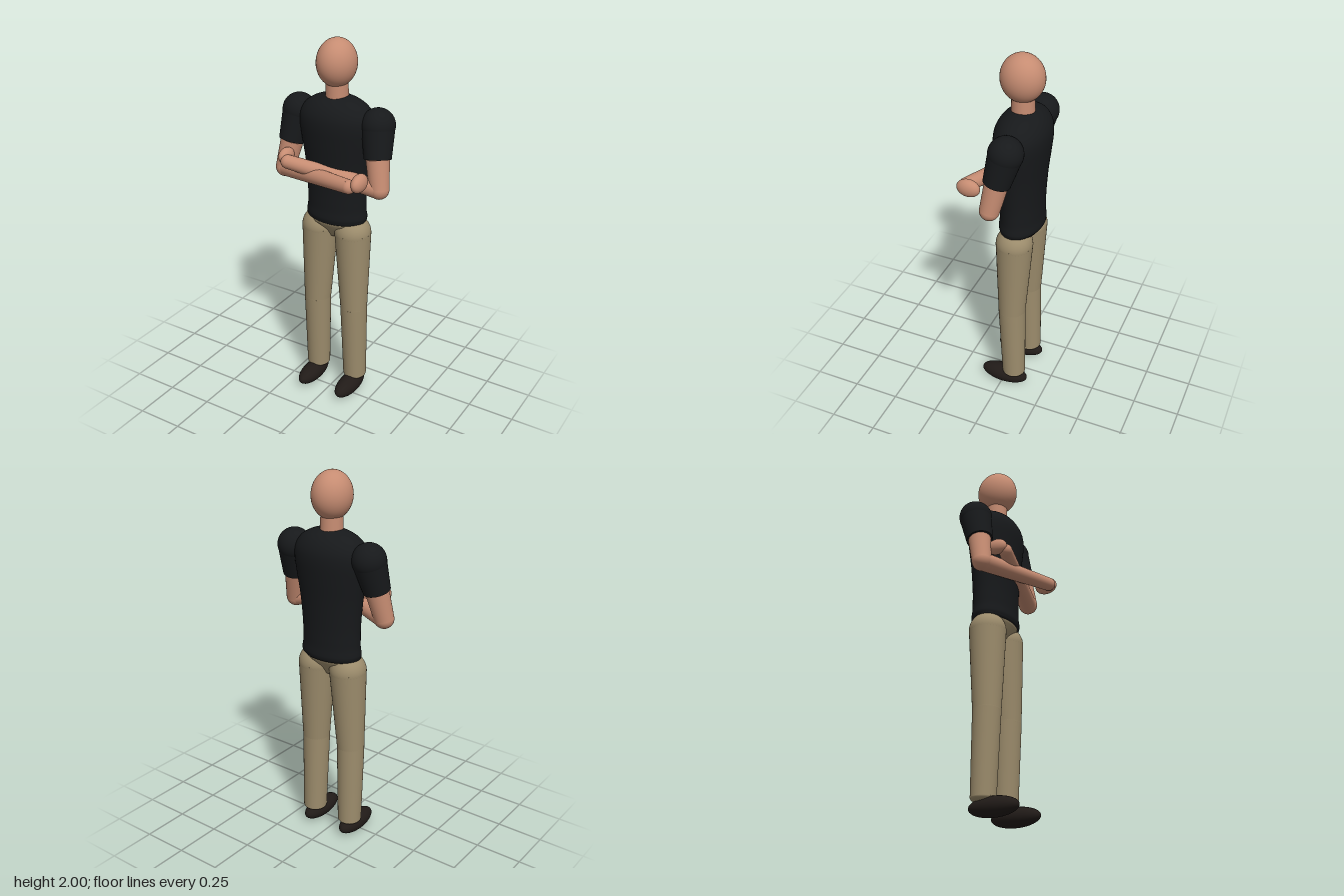
import * as THREE from 'three';

const mat = (color) => new THREE.MeshStandardMaterial({ color });
const Z = -0.065; // depth of the body axis

export function createModel() {
  const skin = mat(0xc68c72), shirt = mat(0x17191b), trousers = mat(0x9c8c6c), leather = mat(0x211b18);
  const figure = new THREE.Group();
  figure.name = 'standingFigure';

  const add = (name, geometry, material, parent = figure) => {
    const mesh = new THREE.Mesh(geometry, material);
    mesh.name = name;
    parent.add(mesh);
    return mesh;
  };
  const ellipsoid = (name, p, r, material, parent) => {
    const mesh = add(name, new THREE.SphereGeometry(1, 40, 28), material, parent);
    mesh.position.set(...p);
    mesh.scale.set(...r);
    return mesh;
  };
  const ball = (name, p, r, material, parent) => ellipsoid(name, p, [r, r, r], material, parent);
  // Tapered limb from point a (radius ra) to point b (radius rb)
  const limb = (name, a, b, ra, rb, material, parent) => {
    const from = new THREE.Vector3(...a), to = new THREE.Vector3(...b);
    const dir = to.clone().sub(from);
    const mesh = add(name, new THREE.CylinderGeometry(rb, ra, dir.length(), 36), material, parent);
    mesh.position.copy(from).add(to).multiplyScalar(0.5);
    mesh.quaternion.setFromUnitVectors(new THREE.Vector3(0, 1, 0), dir.normalize());
    return mesh;
  };
  // Oval body section: smooth lathe through [radius, height] points, flattened in depth
  const oval = (name, points, depth, material) => {
    const curve = new THREE.SplineCurve(points.map(([r, y]) => new THREE.Vector2(r, y)));
    const profile = curve.getPoints(40).map((p) => new THREE.Vector2(Math.max(p.x, 0), p.y));
    const mesh = add(name, new THREE.LatheGeometry(profile, 56), material);
    mesh.scale.z = depth;
    mesh.position.z = Z;
    return mesh;
  };

  // Head and neck
  ellipsoid('head', [0, 1.878, -0.058], [0.1, 0.122, 0.111], skin);
  limb('neck', [0, 1.68, -0.062], [0, 1.82, -0.06], 0.059, 0.055, skin);

  // Shirt body and rolled hem
  oval('shirtBody', [[0, 1.045], [0.158, 1.047], [0.165, 1.12], [0.166, 1.22], [0.178, 1.36], [0.197, 1.48],
    [0.208, 1.57], [0.196, 1.63], [0.15, 1.68], [0.075, 1.712], [0, 1.716]], 0.655, shirt);
  const hem = add('shirtHem', new THREE.TorusGeometry(0.151, 0.019, 16, 56), shirt);
  hem.rotation.x = Math.PI / 2;
  hem.scale.y = 0.63;
  hem.position.set(0, 1.061, Z + 0.003);

  // Pelvis
  const pelvis = add('pelvis', new THREE.LatheGeometry([[0, 0.945], [0.055, 0.945], [0.095, 0.99], [0.15, 1.03], [0.155, 1.06], [0, 1.06]]
    .map(([r, y]) => new THREE.Vector2(r, y)), 40), trousers);
  pelvis.scale.z = 0.64;
  pelvis.position.z = -0.06;

  for (const [side, s] of [['left', 1], ['right', -1]]) {
    // Trouser leg and shoe
    const leg = new THREE.Group();
    leg.name = side + 'Leg';
    figure.add(leg);
    const hip = [0.1 * s, 0.98, -0.06], knee = [0.115 * s, 0.54, -0.053], ankle = [0.119 * s, 0.1, -0.066];
    ball('hip', hip, 0.097, trousers, leg);
    limb('thigh', hip, knee, 0.097, 0.073, trousers, leg);
    ball('knee', knee, 0.073, trousers, leg);
    limb('shin', knee, ankle, 0.073, 0.064, trousers, leg);
    ellipsoid('cuff', ankle, [0.064, 0.028, 0.064], trousers, leg);
    ellipsoid('shoe', [0.12 * s, 0.051, -0.01], [0.055, 0.051, 0.134], leather, leg);

    // Sleeve and folded arm; the right forearm crosses in front of the left
    const arm = new THREE.Group();
    arm.name = side + 'Arm';
    figure.add(arm);
    const shoulder = [0.23 * s, 1.595, -0.07], cuff = [0.253 * s, 1.435, -0.032], elbow = [0.28 * s, 1.288, -0.005];
    const wrist = s > 0 ? [-0.2, 1.366, 0.092] : [0.2, 1.345, 0.158];
    const hand = s > 0 ? [-0.23, 1.382, 0.058] : [0.24, 1.36, 0.125];
    ball('shoulder', shoulder, 0.087, shirt, arm);
    limb('sleeve', shoulder, cuff, 0.086, 0.069, shirt, arm);
    limb('upperArm', cuff, elbow, 0.06, 0.051, skin, arm);
    ball('elbow', elbow, 0.051, skin, arm);
    limb('forearm', elbow, wrist, 0.049, 0.036, skin, arm);
    ball('wrist', wrist, 0.036, skin, arm);
    ellipsoid('hand', hand, s > 0 ? [0.033, 0.042, 0.055] : [0.034, 0.047, 0.062], skin, arm);
  }
  return figure;
}
